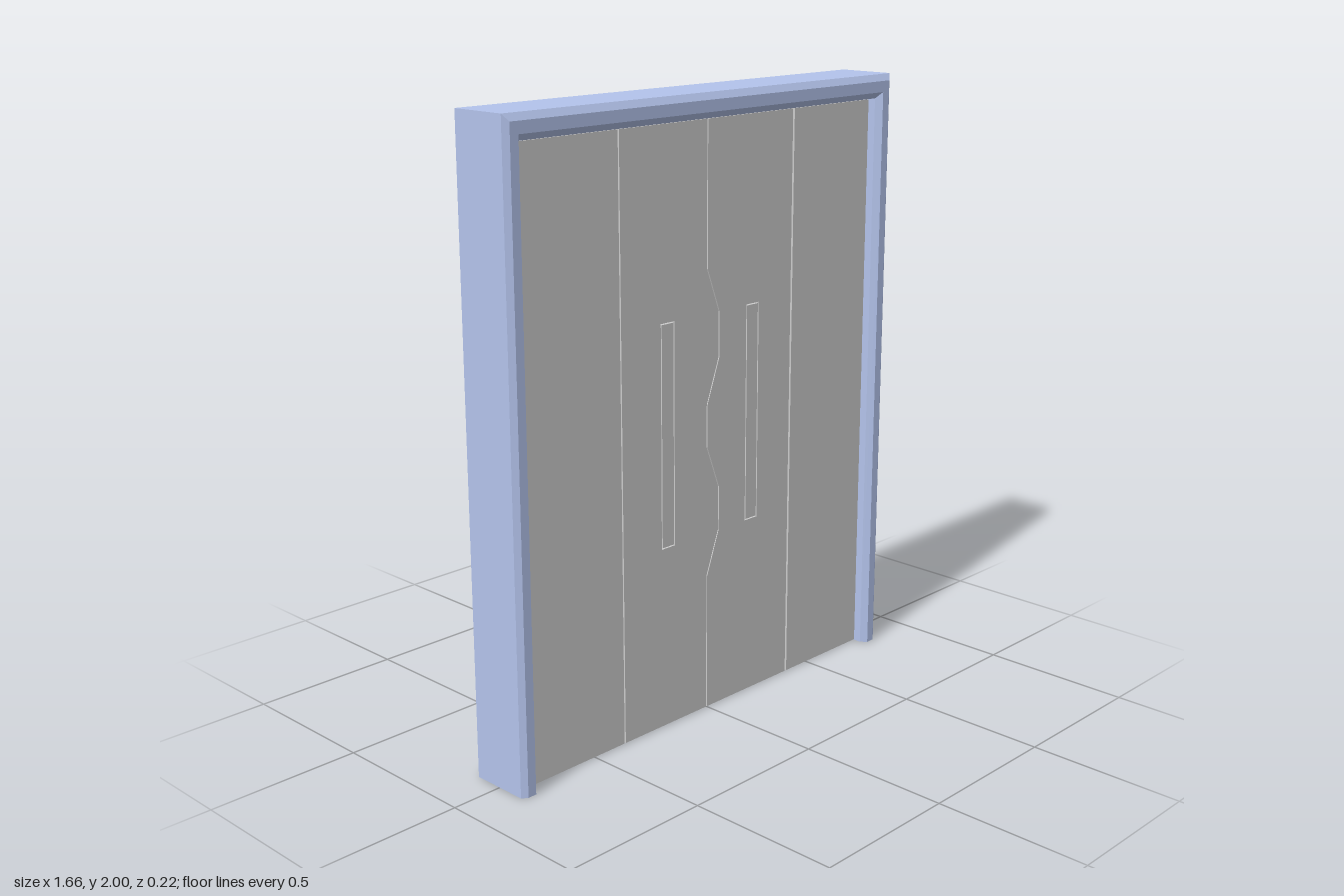
import * as THREE from 'three';

const W = 0.83, H = 2, DOOR_Z = 0.065, TOP = 1.917, FOOT = 0.003;
const grey = new THREE.MeshStandardMaterial({ color: 0xcccccc, flatShading: true });
const blue = new THREE.MeshStandardMaterial({ color: 0xb4c4ec, flatShading: true });

// Chamfered profile swept up one leg, across the head and down the other, with mitred corners
function frameGeometry() {
  const profile = [ // [distance inward from the outer edge, z]
    [0, -0.097], [0, 0.097], [0.018, 0.11], [0.048, 0.11],
    [0.065, 0.09], [0.065, -0.09], [0.048, -0.11], [0.018, -0.11],
  ];
  const headScale = 1.2;
  const stations = [[-1, 0], [-1, 1], [1, 1], [1, 0]].map(([side, up]) =>
    profile.map(([d, z]) => [side * (W - d), up * (H - d * headScale), z]));
  const pos = [];
  const tri = (a, b, c) => pos.push(...a, ...b, ...c);
  const n = profile.length;
  for (let s = 0; s < 3; s++) {
    for (let i = 0; i < n; i++) {
      const j = (i + 1) % n, p = stations[s], q = stations[s + 1];
      tri(p[i], p[j], q[j]);
      tri(p[i], q[j], q[i]);
    }
  }
  // Feet
  const [left, , , right] = stations;
  for (let i = 1; i < n - 1; i++) {
    tri(left[0], left[i + 1], left[i]);
    tri(right[0], right[i], right[i + 1]);
  }
  const geo = new THREE.BufferGeometry();
  geo.setAttribute('position', new THREE.Float32BufferAttribute(pos, 3));
  geo.computeVertexNormals();
  return geo;
}

const rect = (x0, x1, y0, y1) => [[x0, y0], [x1, y0], [x1, y1], [x0, y1]];
const toPoints = (list) => list.map(([x, y]) => new THREE.Vector2(x, y));

function slab(name, outline, hole) {
  const shape = new THREE.Shape(toPoints(outline));
  if (hole) shape.holes.push(new THREE.Path(toPoints(hole)));
  const geo = new THREE.ExtrudeGeometry(shape, { depth: 2 * DOOR_Z, bevelEnabled: false });
  geo.translate(0, 0, -DOOR_Z);
  const mesh = new THREE.Mesh(geo, grey);
  mesh.name = name;
  return mesh;
}

export function createModel() {
  const group = new THREE.Group();
  group.name = 'doubleDoor';

  const frame = new THREE.Mesh(frameGeometry(), blue);
  frame.name = 'doorFrame';
  group.add(frame);

  // Wavy seam where the two middle leaves meet
  const seam = [[0, FOOT]];
  for (const y of [0.46, 1.03]) {
    seam.push([0, y], [0.053, y + 0.145], [0.053, y + 0.29], [0, y + 0.43]);
  }
  // Both waves share the flat stretch between them
  seam.splice(5, 1, [0, 1.03]);
  seam.push([0, TOP]);
  const shifted = (dx) => seam.map(([x, y]) => [x - 0.004 + dx, y]);

  // Outer leaves
  group.add(slab('rightOuterPanel', rect(-0.763, -0.376, FOOT, TOP)));
  group.add(slab('leftOuterPanel', rect(0.393, 0.763, FOOT, TOP)));

  // Middle leaves, each with an inset for its handle
  const handles = { right: [-0.207, -0.149], left: [0.174, 0.232] };
  const outlines = {
    right: [[-0.371, FOOT], ...shifted(-0.002), [-0.371, TOP]],
    left: [[0.385, FOOT], [0.385, TOP], ...shifted(0.002).reverse()],
  };
  for (const side of ['right', 'left']) {
    const [a, b] = handles[side], gap = 0.004;
    group.add(slab(side + 'MiddlePanel', outlines[side], rect(a, b, 0.603, 1.322)));
    group.add(slab(side + 'Handle', rect(a + gap, b - gap, 0.603 + gap, 1.322 - gap)));
  }
  return group;
}
